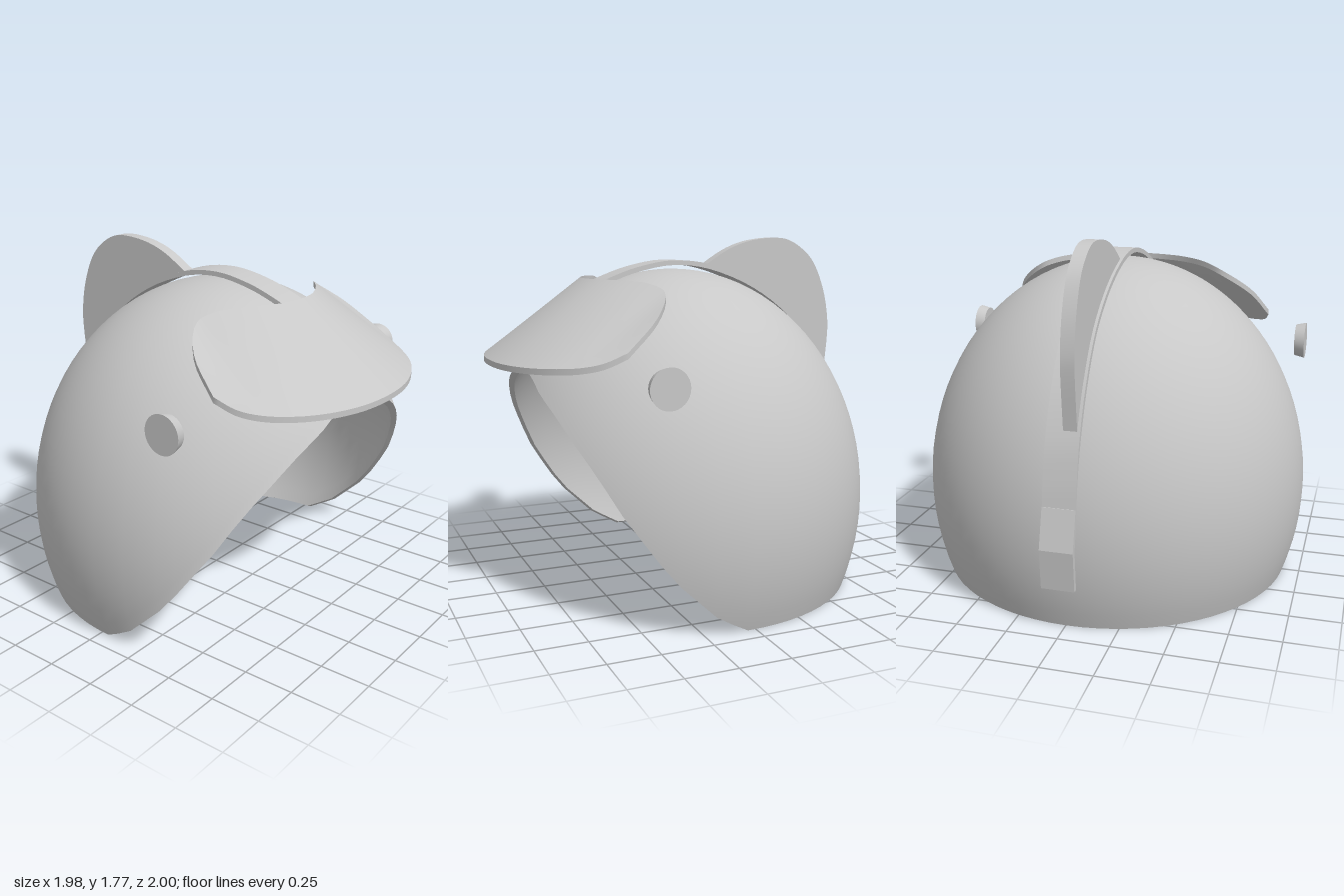
import * as THREE from 'three';
import { mergeVertices, toCreasedNormals } from 'three/addons/utils/BufferGeometryUtils.js';

const grey = new THREE.MeshStandardMaterial({ color: 0xc8c8c8, side: THREE.DoubleSide });
grey.name = 'light grey';

function add(group, name, geometry) {
  const mesh = new THREE.Mesh(geometry, grey);
  mesh.name = name;
  group.add(mesh);
  return mesh;
}

// Smooth surface sampled from fn(u, v), both 0..1
function grid(fn, nu, nv) {
  const pos = [], index = [];
  for (let i = 0; i <= nu; i++)
    for (let j = 0; j <= nv; j++) pos.push(...fn(i / nu, j / nv).toArray());
  for (let i = 0; i < nu; i++)
    for (let j = 0; j < nv; j++) {
      const a = i * (nv + 1) + j, b = a + nv + 1;
      index.push(a, b, b + 1, a, b + 1, a + 1);
    }
  let g = new THREE.BufferGeometry();
  g.setAttribute('position', new THREE.Float32BufferAttribute(pos, 3));
  g.setIndex(index);
  g = mergeVertices(g, 1e-5);
  g.computeVertexNormals();
  return g;
}

// Side profile of [z, y] points extruded from x0 to x1
function slab(points, x0, x1) {
  const shape = new THREE.Shape(points.map(([z, y]) => new THREE.Vector2(z, y)));
  const g = new THREE.ExtrudeGeometry(shape, { depth: x1 - x0, bevelEnabled: false });
  g.rotateY(-Math.PI / 2).translate(x1, 0, 0);
  return toCreasedNormals(g, 0.6);
}

const spline2 = (pts, n) =>
  new THREE.SplineCurve(pts.map(p => new THREE.Vector2(...p))).getPoints(n);

// Egg-shaped shell, cut by the face opening and a flat base
const CY = 0.45, CZ = 0.04, R = 0.99, RY = 1.16;
const opening = [[0, 0.04], [0.085, 0.195], [0.29, 0.41], [0.56, 0.595], [0.89, 0.765], [1.05, 0.83], [1.16, 0.835]];

function openingZ(y) {
  for (let i = 1; i < opening.length; i++) {
    const [y0, z0] = opening[i - 1], [y1, z1] = opening[i];
    if (y <= y1) return z0 + (z1 - z0) * (y - y0) / (y1 - y0);
  }
  return Infinity;
}

function shellPoint(a, phi, s = 1) {
  return new THREE.Vector3(
    s * R * Math.sin(phi) * Math.sin(a),
    CY + s * RY * Math.cos(phi),
    CZ + s * R * Math.sin(phi) * Math.cos(a));
}

function edgeAngle(a) {
  let lo = 0.3, hi = Math.PI * 0.75;
  for (let k = 0; k < 30; k++) {
    const mid = (lo + hi) / 2, p = shellPoint(a, mid);
    if (p.y >= 0 && p.z <= openingZ(p.y)) lo = mid; else hi = mid;
  }
  return lo;
}

function buildShell() {
  const g = new THREE.Group();
  g.name = 'shell';
  const inner = 0.967, turn = Math.PI * 2;
  add(g, 'outerShell', grid((u, v) => shellPoint(u * turn, edgeAngle(u * turn) * (1 - v)), 72, 28));
  add(g, 'innerShell', grid((u, v) => shellPoint(u * turn, edgeAngle(u * turn) * v, inner), 72, 28));
  add(g, 'shellRim', grid((u, v) =>
    shellPoint(u * turn, edgeAngle(u * turn), inner + (1 - inner) * v), 72, 1));
  return g;
}

// Visor lofted between a front edge and a scooped back edge
function buildVisor() {
  const g = new THREE.Group();
  g.name = 'visor';
  const mirrored = half => new THREE.CatmullRomCurve3([
    ...half.slice(1).reverse().map(([x, y, z]) => new THREE.Vector3(-x, y, z)),
    ...half.map(p => new THREE.Vector3(...p))]);
  const front = mirrored([[0, 1.19, 1], [0.2, 1.19, 0.98], [0.38, 1.193, 0.92], [0.52, 1.2, 0.84],
    [0.63, 1.212, 0.735], [0.69, 1.235, 0.64], [0.72, 1.28, 0.54]]);
  const back = mirrored([[0, 1.57, 0.51], [0.13, 1.57, 0.49], [0.27, 1.57, 0.42], [0.4, 1.56, 0.325],
    [0.5, 1.525, 0.28], [0.64, 1.42, 0.37], [0.72, 1.28, 0.54]]);
  const surface = (u, v, drop) => {
    const p = front.getPoint(u).lerp(back.getPoint(u), v);
    p.y -= drop;
    return p;
  };
  const T = 0.028;
  add(g, 'visorTop', grid((u, v) => surface(u, v, 0), 48, 8));
  add(g, 'visorUnderside', grid((u, v) => surface(u, 1 - v, T), 48, 8));
  add(g, 'visorRim', grid((u, v) =>
    surface(u < 0.5 ? u * 2 : 2 - u * 2, u < 0.5 ? 0 : 1, T * (1 - v)), 96, 1));
  return g;
}

// Strap over the crown, ending in a buckle and hanging tab
function buildStrap() {
  const g = new THREE.Group();
  g.name = 'strap';
  const outer = spline2([[0.5, 1.53], [0.4, 1.575], [0.25, 1.625], [0.06, 1.655], [-0.15, 1.63], [-0.4, 1.53],
    [-0.62, 1.37], [-0.78, 1.15], [-0.88, 0.93], [-0.925, 0.75], [-0.945, 0.62]], 40);
  const inner = outer.map((p, i) => {
    const t = outer[Math.min(i + 1, 40)].clone().sub(outer[Math.max(i - 1, 0)]).normalize();
    return [p.x - t.y * 0.024, p.y + t.x * 0.024];
  });
  add(g, 'strapBand', slab([...outer.map(p => [p.x, p.y]), ...inner.reverse()], -0.08, 0.08));
  add(g, 'strapBuckle', slab([[-0.925, 0.62], [-0.948, 0.62], [-0.997, 0.43], [-0.97, 0.43]], -0.08, 0.08));
  add(g, 'strapTab', slab([[-0.97, 0.43], [-0.997, 0.43], [-0.98, 0.235], [-0.955, 0.235]], -0.08, 0.08));
  return g;
}

export function createModel() {
  const model = new THREE.Group();
  model.name = 'helmet';
  model.add(buildShell(), buildVisor(), buildStrap());

  // Fin standing on the strap, slightly off centre
  const finTop = spline2([[-0.15, 1.625], [-0.285, 1.707], [-0.42, 1.752], [-0.58, 1.765], [-0.685, 1.733],
    [-0.79, 1.643], [-0.86, 1.493], [-0.893, 1.333], [-0.893, 1.2], [-0.868, 0.96]], 40);
  const finBase = [[-0.77, 1.15], [-0.61, 1.365], [-0.4, 1.52]];
  add(model, 'fin', slab([...finTop.map(p => [p.x, p.y]), ...finBase], -0.066, 0));

  // Side knobs, wider at the outer face
  for (const side of [-1, 1]) {
    const knob = add(model, side > 0 ? 'leftKnob' : 'rightKnob',
      toCreasedNormals(new THREE.CylinderGeometry(0.094, 0.082, 0.052, 32), 0.6));
    knob.rotation.z = -side * Math.PI / 2;
    knob.position.set(side * 0.91, 1.145, 0.43);
  }
  return model;
}
